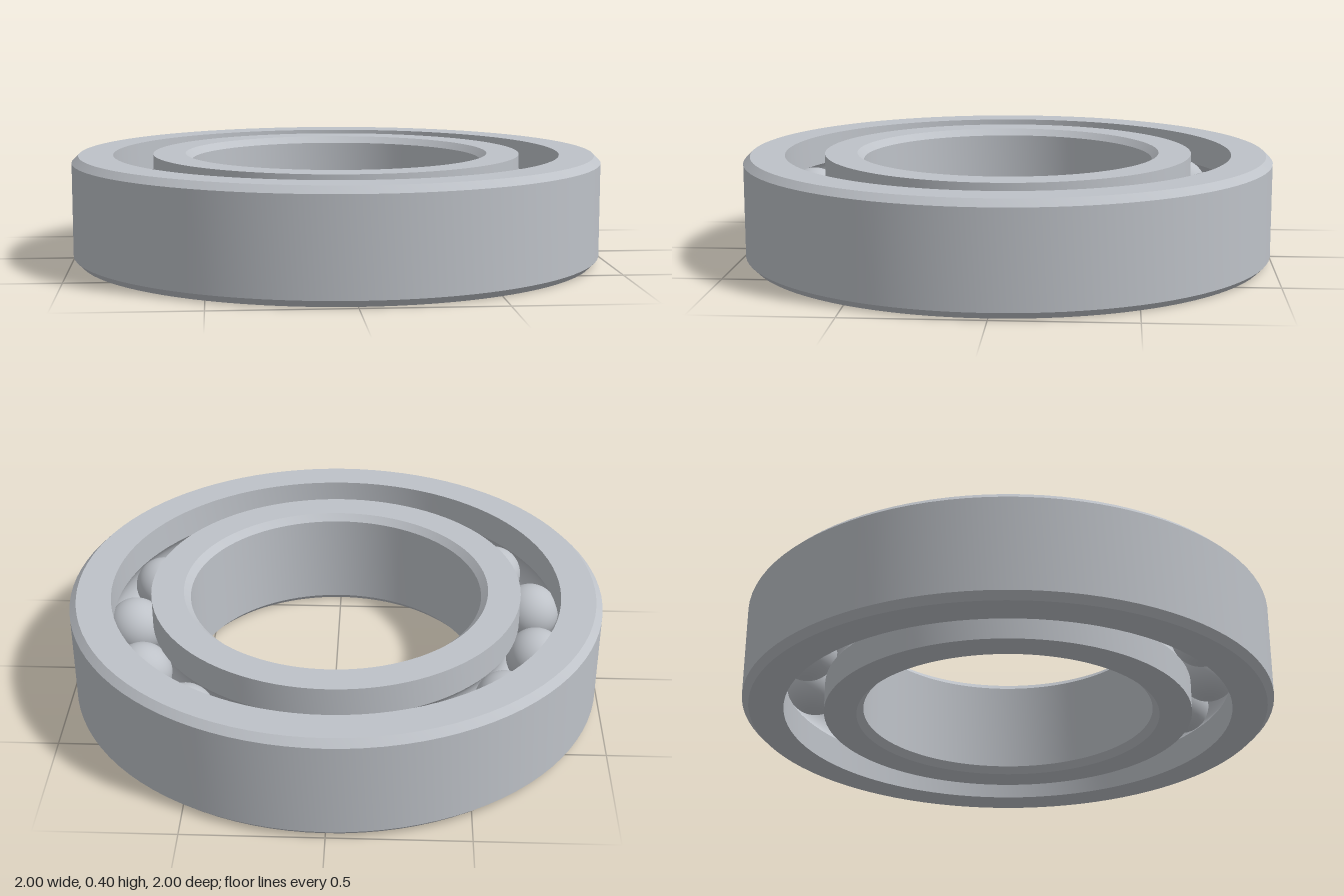
import * as THREE from 'three';
import { toCreasedNormals } from 'three/addons/utils/BufferGeometryUtils.js';

const HEIGHT = 0.4, MID = HEIGHT / 2, CHAMFER = 0.025;
const PITCH = 0.77, BALL_R = 0.11, BALLS = 15;
const GROOVE_R = 0.113, HALF_GAP = 0.075;

// Raceway arc in the (radius, height) plane, centred on the ball circle.
function raceway(start, end, steps = 8) {
  return Array.from({ length: steps + 1 }, (_, i) => {
    const a = start + (end - start) * i / steps;
    return new THREE.Vector2(PITCH + GROOVE_R * Math.cos(a), MID + GROOVE_R * Math.sin(a));
  });
}

// Closed counter-clockwise profile turned around y, with sharp edges kept.
function turnedRing(name, profile, material) {
  const geometry = new THREE.LatheGeometry([...profile, profile[0].clone()], 96);
  const mesh = new THREE.Mesh(toCreasedNormals(geometry, 0.5), material);
  mesh.name = name;
  return mesh;
}

export function createModel() {
  const group = new THREE.Group();
  group.name = 'ballBearing';
  const steel = new THREE.MeshStandardMaterial({ color: 0xbec2c8 });
  steel.name = 'steel';

  const p = (r, y) => new THREE.Vector2(r, y);
  const arc = Math.acos(HALF_GAP / GROOVE_R);

  // Outer ring: chamfered outside, ball groove inside
  const outerBore = PITCH + HALF_GAP;
  group.add(turnedRing('outerRing', [
    p(outerBore, 0), p(1 - CHAMFER, 0), p(1, CHAMFER),
    p(1, HEIGHT - CHAMFER), p(1 - CHAMFER, HEIGHT), p(outerBore, HEIGHT),
    ...raceway(arc, -arc),
  ], steel));

  // Inner ring: chamfered bore, ball groove outside
  const innerRim = PITCH - HALF_GAP, bore = 0.548;
  group.add(turnedRing('innerRing', [
    p(bore + CHAMFER, 0), p(innerRim, 0),
    ...raceway(Math.PI + arc, Math.PI - arc),
    p(innerRim, HEIGHT), p(bore + CHAMFER, HEIGHT),
    p(bore, HEIGHT - CHAMFER), p(bore, CHAMFER),
  ], steel));

  // Balls, evenly spaced from +x
  const balls = new THREE.Group();
  balls.name = 'balls';
  const ballGeometry = new THREE.SphereGeometry(BALL_R, 32, 24);
  for (let i = 0; i < BALLS; i++) {
    const a = i / BALLS * Math.PI * 2;
    const ball = new THREE.Mesh(ballGeometry, steel);
    ball.name = 'ball';
    ball.position.set(PITCH * Math.cos(a), MID, PITCH * Math.sin(a));
    balls.add(ball);
  }
  group.add(balls);
  return group;
}
